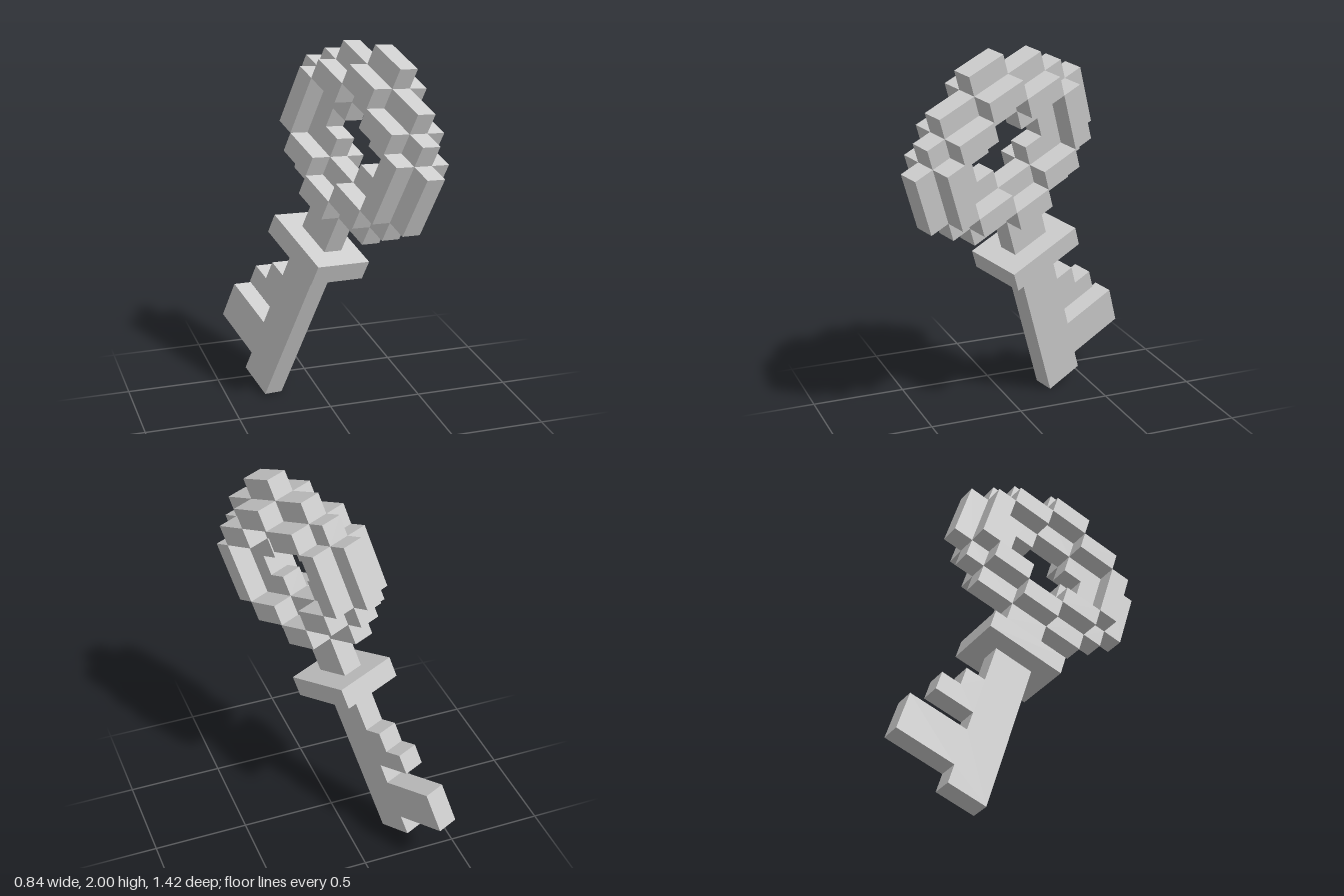
import * as THREE from 'three';

// Key is laid out in block units: x across (teeth side +), y along the shaft, z thickness
const UNIT = 0.1092;
const HEAD_Y = 14.5;

const material = new THREE.MeshStandardMaterial({ color: 0xcccccc, flatShading: true });

function add(parent, name, geometry) {
  const mesh = new THREE.Mesh(geometry, material);
  mesh.name = name;
  parent.add(mesh);
  return mesh;
}

function box(parent, name, w, h, d, x, y, z) {
  return add(parent, name, new THREE.BoxGeometry(w, h, d).translate(x, y, z));
}

// Extrude an outline one block thick, centred on z = 0
function plate(shape) {
  return new THREE.ExtrudeGeometry(shape, { depth: 1, bevelEnabled: false, steps: 1 }).translate(0, 0, -0.5);
}

const toPoints = (list) => list.map(([x, y]) => new THREE.Vector2(x, y));

// Mirror a stepped quarter outline into a full closed loop
function mirrorQuarter(quarter) {
  const back = [...quarter].reverse();
  return toPoints([
    ...quarter,
    ...back.map(([x, y]) => [-x, y]),
    ...quarter.map(([x, y]) => [-x, -y]),
    ...back.map(([x, y]) => [x, -y]),
  ]);
}

export function createModel() {
  const key = new THREE.Group();
  key.name = 'key';

  // Shaft with its stepped teeth in one outline
  const blade = new THREE.Shape(toPoints([
    [-1, 0], [1, 0], [1, 1], [4, 1], [4, 3], [1, 3], [1, 4],
    [3, 4], [3, 5], [2, 5], [2, 6], [1, 6], [1, 8], [-1, 8],
  ]));
  add(key, 'toothedShaft', plate(blade));

  // Guard and neck
  box(key, 'guard', 4, 1, 3, 0, 8.5, 0);
  box(key, 'neck', 2, 1, 1, 0, 9.5, 0);

  // Head: wide middle ring
  const head = new THREE.Group();
  head.name = 'head';
  head.position.y = HEAD_Y;
  key.add(head);
  const ring = new THREE.Shape(mirrorQuarter(
    [[5, 1.5], [4, 1.5], [4, 2.5], [3, 2.5], [3, 3.5], [1, 3.5], [1, 4.5]]));
  ring.holes.push(new THREE.Path(mirrorQuarter([[2, 0.5], [1, 0.5], [1, 1.5]])));
  add(head, 'middleRing', plate(ring));

  // Narrow raised ring on each face of the head
  for (const z of [-1, 1]) {
    for (const s of [-1, 1]) {
      box(head, 'raisedEndBar', 2, 1, 1, 0, 3 * s, z);
      box(head, 'raisedSideBar', 1, 3, 1, 3.5 * s, 0, z);
      for (const t of [-1, 1]) box(head, 'raisedCornerBar', 2, 1, 1, 2 * s, 2 * t, z);
    }
  }

  // Tilt the key into its leaning pose
  const along = new THREE.Vector3(0.247, 0.918, 0.31).normalize();
  const across = new THREE.Vector3(-0.272, 0.37, -0.889);
  across.addScaledVector(along, -across.dot(along)).normalize();
  const through = new THREE.Vector3().crossVectors(across, along);
  key.quaternion.setFromRotationMatrix(new THREE.Matrix4().makeBasis(across, along, through));
  key.scale.setScalar(UNIT);
  key.position.set(-0.281, 0.048, -0.336);

  const model = new THREE.Group();
  model.name = 'leaningKey';
  model.add(key);
  return model;
}
